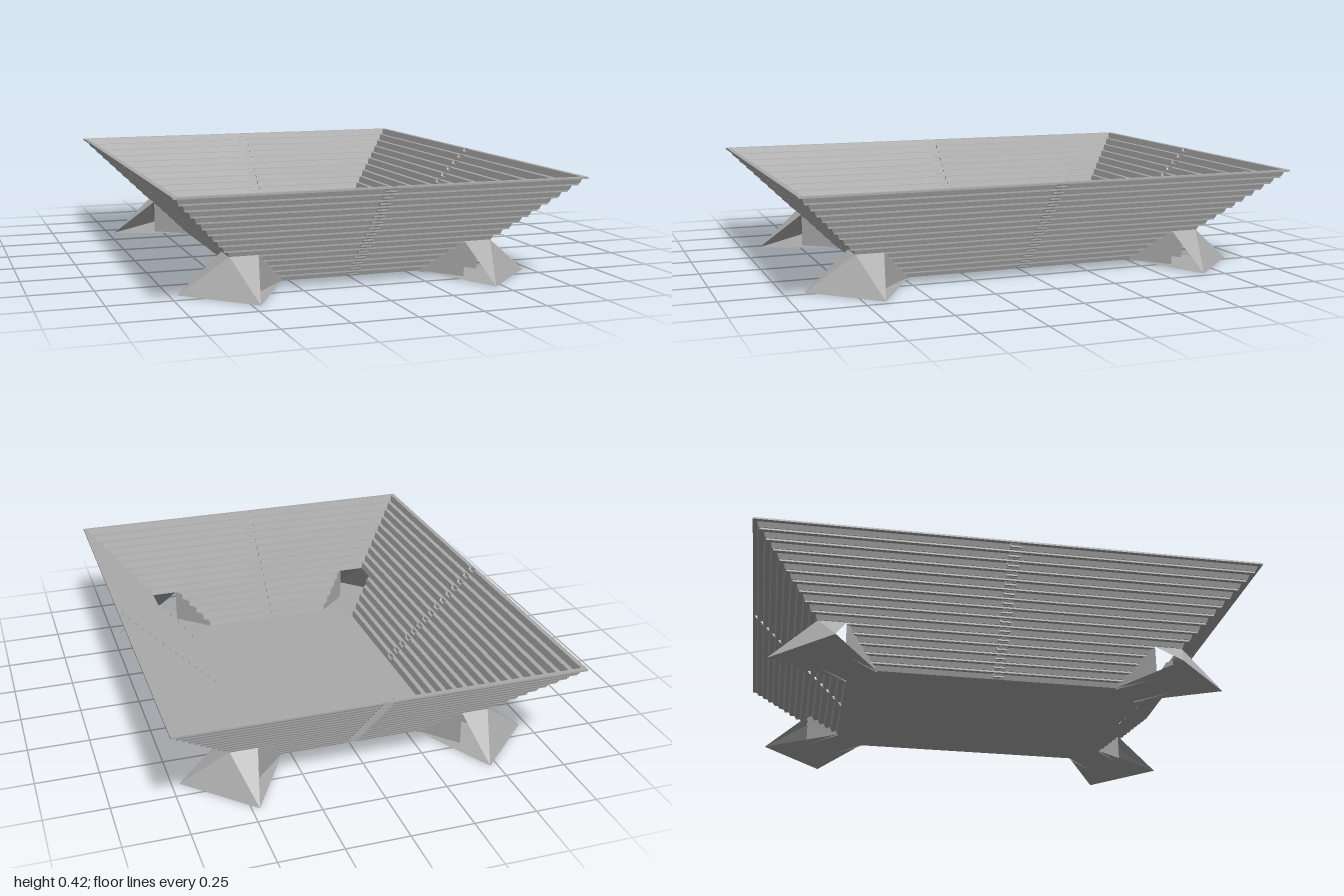
import * as THREE from 'three';

const TIERS = 15, CUT_TIERS = 5;      // the lowest tiers stop at the corner passages
const STEP = 0.027, RISE = 0.0273, FLOOR_Y = 0.01;
const SLAB = 0.007, SKIN = 0.003;     // thickness of treads and risers
const HX = 0.4, HZ = 0.6, CUT = 0.112, AISLE = 0.022;

const material = new THREE.MeshStandardMaterial({
  color: 0xaaaaaa, flatShading: true, side: THREE.DoubleSide,
});

function mesh(name, geometry) {
  const m = new THREE.Mesh(geometry, material);
  m.name = name;
  return m;
}

function fromTriangles(points) {
  const g = new THREE.BufferGeometry();
  g.setAttribute('position', new THREE.Float32BufferAttribute(points.flat(), 3));
  g.computeVertexNormals();
  return g;
}

function quad(out, a, b, c, d) {
  out.push(a, b, c, a, c, d);
}

// One step running along x: a leaning riser and a flat tread, ends may be mitred
function step(out, base, o, y, run, rise, left, right) {
  const lean = run * 0.27, top = y + rise;
  const section = [
    [o, y], [o + lean, top], [o + run, top],
    [o + run, top - SLAB], [o + lean + SKIN, top - SLAB], [o + SKIN, y],
  ];
  const L = section.map(([v, h]) => [left(v), h, base + v]);
  const R = section.map(([v, h]) => [right(v), h, base + v]);
  for (let i = 0; i < 6; i++) {
    const j = (i + 1) % 6;
    quad(out, L[i], L[j], R[j], R[i]);
  }
  quad(out, L[5], L[4], L[1], L[0]);
  quad(out, L[4], L[3], L[2], L[1]);
  quad(out, R[0], R[1], R[4], R[5]);
  quad(out, R[1], R[2], R[3], R[4]);
}

// Stand on one side: two seating blocks and the finer-stepped aisle between them
function stand(name, base, half) {
  const seats = [], aisle = [];
  for (let i = 0; i < TIERS; i++) {
    const o = i * STEP, y = FLOOR_Y + i * RISE;
    const reach = half - (i < CUT_TIERS ? CUT : 0);
    step(seats, base, o, y, STEP, RISE, (v) => -reach - v, () => -AISLE);
    step(seats, base, o, y, STEP, RISE, () => AISLE, (v) => reach + v);
    for (let k = 0; k < 2; k++) {
      step(aisle, base, o + k * STEP / 2, y + k * RISE / 2, STEP / 2, RISE / 2,
        () => -AISLE, () => AISLE);
    }
  }
  const g = new THREE.Group();
  g.name = name;
  g.add(mesh('seatingTiers', fromTriangles(seats)), mesh('aisleSteps', fromTriangles(aisle)));
  return g;
}

// Stepped wall closing the cut end of the lower tiers, along the diagonal
function passageWall(x, z) {
  const out = [], low = FLOOR_Y / 2;
  for (let i = 0; i < CUT_TIERS; i++) {
    const a = i * STEP, b = a + STEP, top = FLOOR_Y + (i + 1) * RISE - SKIN;
    quad(out, [x + a, low, z + a], [x + b, low, z + b], [x + b, top, z + b], [x + a, top, z + a]);
  }
  return mesh('passageWall', fromTriangles(out));
}

// Corner entrance: flared ramp, passage walls and the folded canopy above
function cornerEntrance() {
  const g = new THREE.Group();
  g.name = 'cornerEntrance';
  const d = CUT_TIERS * STEP, top = FLOOR_Y + CUT_TIERS * RISE;
  const c = [HX + d, top, HZ + d];
  const t1 = [HX + d - CUT, top, HZ + d], t2 = [HX + d, top, HZ + d - CUT];
  const e1 = [0.47, 0, 0.92], e2 = [0.72, 0, 0.67];
  const ramp = [];
  quad(ramp, [HX - CUT, FLOOR_Y, HZ], e1, e2, [HX, FLOOR_Y, HZ - CUT]);
  g.add(
    mesh('entranceRamp', fromTriangles(ramp)),
    mesh('canopy', fromTriangles([t1, e1, c, c, e1, e2, c, e2, t2])),
    passageWall(HX - CUT, HZ),
    passageWall(HX, HZ - CUT),
  );
  return g;
}

// Flat floor with its corners cut off where the ramps join
function arenaFloor() {
  const a = HX - CUT, b = HZ - CUT;
  const outline = [[HX, -b], [HX, b], [a, HZ], [-a, HZ], [-HX, b], [-HX, -b], [-a, -HZ], [a, -HZ]];
  const g = new THREE.ShapeGeometry(new THREE.Shape(outline.map(([x, z]) => new THREE.Vector2(x, z))));
  g.rotateX(-Math.PI / 2);
  g.translate(0, FLOOR_Y, 0);
  return mesh('floor', g);
}

export function createModel() {
  const model = new THREE.Group();
  model.name = 'arena';
  model.add(arenaFloor());

  const sides = ['frontStand', 'leftStand', 'backStand', 'rightStand'];
  sides.forEach((name, i) => {
    const s = i % 2 ? stand(name, HX, HZ) : stand(name, HZ, HX);
    s.rotation.y = i * Math.PI / 2;
    model.add(s);
  });

  for (const sx of [1, -1]) for (const sz of [1, -1]) {
    const entrance = cornerEntrance();
    entrance.scale.set(sx, 1, sz);
    model.add(entrance);
  }
  return model;
}
